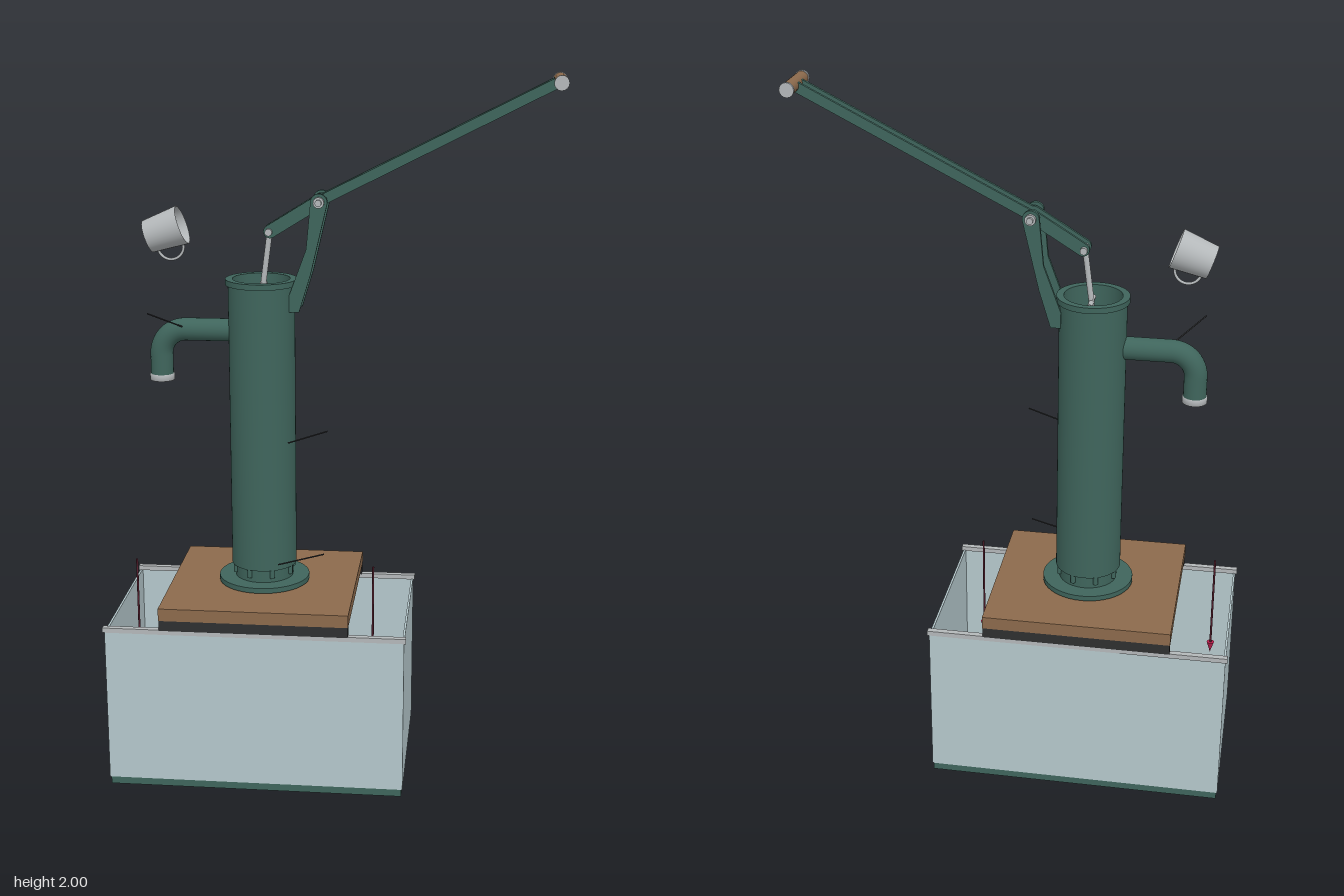
import * as THREE from 'three';

const mat = (color) => new THREE.MeshStandardMaterial({ color, side: THREE.DoubleSide });
const GREEN = mat(0x3f655c), WOOD = mat(0x8c6a4c), DARK = mat(0x2e2f30), STEEL = mat(0xb4b8ba);
const GLASS = mat(0xb5c8cc), TAN = mat(0xb8935f), RED = mat(0xc03030), PINK = mat(0xc02050);
const PX = -0.2; // pump axis

export function createModel() {
  const root = new THREE.Group();
  const add = (name, geo, material, x = 0, y = 0, z = 0) => {
    const m = new THREE.Mesh(geo, material);
    m.name = name;
    m.position.set(x, y, z);
    root.add(m);
    return m;
  };
  const box = (name, material, w, h, d, x, y, z) => add(name, new THREE.BoxGeometry(w, h, d), material, x, y, z);
  const disc = (name, material, r, y0, y1, x = PX, z = 0) =>
    add(name, new THREE.CylinderGeometry(r, r, y1 - y0, 40), material, x, (y0 + y1) / 2, z);
  // Round rod between two points
  const rod = (name, material, a, b, r) => {
    const p = new THREE.Vector3(...a), q = new THREE.Vector3(...b), d = q.clone().sub(p);
    const m = add(name, new THREE.CylinderGeometry(r, r, d.length(), 16), material);
    m.position.copy(p).add(q).multiplyScalar(0.5);
    m.quaternion.setFromUnitVectors(new THREE.Vector3(0, 1, 0), d.normalize());
    return m;
  };
  // Flat plate cut in the xy plane, centred on z
  const plate = (name, material, shape, t, z) =>
    add(name, new THREE.ExtrudeGeometry(shape, { depth: t, bevelEnabled: false, curveSegments: 10 }), material, 0, 0, z - t / 2);
  // Straight strip with rounded ends
  const strip = (a, b, r) => {
    const ang = Math.atan2(b[1] - a[1], b[0] - a[0]);
    const s = new THREE.Shape();
    s.absarc(b[0], b[1], r, ang - Math.PI / 2, ang + Math.PI / 2, false);
    s.absarc(a[0], a[1], r, ang + Math.PI / 2, ang + Math.PI * 1.5, false);
    s.closePath();
    return s;
  };

  // Open tank
  box('tankFloor', GREEN, 0.835, 0.022, 0.5, -0.2, 0.014, 0);
  for (const s of [-1, 1]) {
    box('tankLongWall', GLASS, 0.842, 0.45, 0.006, -0.2, 0.25, s * 0.249);
    box('tankEndWall', GLASS, 0.006, 0.45, 0.492, -0.2 + s * 0.418, 0.25, 0);
    box('tankRail', STEEL, 0.852, 0.014, 0.017, -0.2, 0.48, s * 0.247);
    box('boardRunner', DARK, 0.53, 0.03, 0.02, -0.2, 0.5, s * 0.246);
  }
  box('board', WOOD, 0.532, 0.036, 0.514, -0.2, 0.533, 0);

  // Level markers
  for (const x of [-0.565, 0.12]) {
    rod('markerPole', mat(0x5a2030), [x, 0.34, 0.053], [x, 0.62, 0.053], 0.003);
    add('markerTip', new THREE.ConeGeometry(0.011, 0.035, 16), PINK, x, 0.325, 0.053).rotation.x = Math.PI;
  }

  // Suction pipe, flange and hollow barrel
  disc('suctionPipe', STEEL, 0.033, 0.1, 0.56);
  disc('flange', GREEN, 0.13, 0.557, 0.572);
  disc('flangeSeat', GREEN, 0.06, 0.55, 0.558);
  disc('neck', GREEN, 0.083, 0.572, 0.612);
  for (let i = 0; i < 8; i++) {
    const a = (i + 0.5) * Math.PI / 4;
    disc('neckBolt', GREEN, 0.007, 0.585, 0.612, PX + 0.085 * Math.cos(a), 0.085 * Math.sin(a));
  }
  const profile = [[0, 0.61], [0.093, 0.61], [0.093, 1.424], [0.1, 1.424], [0.1, 1.44], [0.08, 1.44], [0.08, 0.62], [0, 0.62]];
  // Doubled points keep the rim edges sharp
  const sharp = profile.flatMap(([x, y]) => [new THREE.Vector2(x, y), new THREE.Vector2(x, y)]);
  add('barrel', new THREE.LatheGeometry(sharp, 48), GREEN, PX);

  // Spout with downward bend
  const path = new THREE.CurvePath();
  const v = (x, y) => new THREE.Vector3(x, y, 0);
  path.add(new THREE.LineCurve3(v(-0.285, 1.292), v(-0.415, 1.292)));
  path.add(new THREE.CubicBezierCurve3(v(-0.415, 1.292), v(-0.454, 1.292), v(-0.485, 1.261), v(-0.485, 1.222)));
  path.add(new THREE.LineCurve3(v(-0.485, 1.222), v(-0.485, 1.148)));
  add('spout', new THREE.TubeGeometry(path, 40, 0.032, 24), GREEN);
  add('spoutCollar', new THREE.LatheGeometry([[0.029, 1.146], [0.035, 1.146], [0.035, 1.164], [0.029, 1.164]]
    .map(([x, y]) => new THREE.Vector2(x, y)), 28), STEEL, -0.485);

  // Piston and foot valve inside the barrel
  for (const [name, y] of [['footValve', 0.63], ['piston', 0.99]]) {
    disc(name + 'Seal', WOOD, 0.079, y, y + 0.035);
    disc(name + 'Plate', TAN, 0.066, y + 0.03, y + 0.042);
    disc(name + 'Flap', RED, 0.032, y + 0.042, y + 0.05);
  }
  rod('pistonYoke', STEEL, [-0.26, 1.08, 0], [-0.14, 1.08, 0], 0.006);
  for (const x of [-0.255, -0.145]) rod('pistonYokeLeg', STEEL, [x, 1.03, 0], [x, 1.08, 0], 0.005);
  rod('pistonRod', STEEL, [PX, 1.05, 0], [-0.195, 1.43, 0], 0.008);
  rod('pistonLink', STEEL, [-0.195, 1.42, 0], [-0.175, 1.57, 0], 0.008);
  rod('rodPin', STEEL, [-0.175, 1.572, -0.032], [-0.175, 1.572, 0.032], 0.01);
  rod('linkPin', STEEL, [-0.195, 1.42, -0.04], [-0.195, 1.42, 0.04], 0.007);

  // Brackets and twin-bar lever
  const bracket = new THREE.Shape();
  bracket.moveTo(-0.118, 1.355);
  bracket.lineTo(-0.09, 1.355);
  bracket.lineTo(-0.058, 1.46);
  bracket.lineTo(-0.012, 1.655);
  bracket.absarc(-0.035, 1.658, 0.023, 0, Math.PI, false);
  bracket.lineTo(-0.07, 1.53);
  bracket.lineTo(-0.118, 1.4);
  const pivot = [-0.035, 1.658], tail = [-0.172, 1.573], tip = [0.6, 1.98];
  for (const s of [-1, 1]) {
    plate('leverBracket', GREEN, bracket, 0.011, s * 0.04);
    plate('leverTail', GREEN, strip(tail, pivot, 0.018), 0.009, s * 0.017);
    plate('leverArm', GREEN, strip(pivot, tip, 0.014), 0.009, s * 0.017);
    rod('gripCap', STEEL, [0.602, 1.98, s * 0.066], [0.602, 1.98, s * 0.074], 0.02);
    rod('pivotNut', STEEL, [...pivot, s * 0.046], [...pivot, s * 0.056], 0.015);
  }
  rod('pivotPin', STEEL, [...pivot, -0.065], [...pivot, 0.065], 0.009);
  rod('grip', WOOD, [0.602, 1.98, -0.067], [0.602, 1.98, 0.067], 0.018);

  // Tilted cup, mouth towards +x, wire handle below
  const cup = new THREE.Group();
  cup.name = 'cup';
  const cupProfile = [[0, -0.05], [0.046, -0.05], [0.046, -0.05], [0.055, 0.052], [0.052, 0.052], [0.043, -0.045], [0, -0.045]];
  const body = new THREE.Mesh(new THREE.LatheGeometry(cupProfile.map(([x, y]) => new THREE.Vector2(x, y)), 36), STEEL);
  body.name = 'cupBody';
  body.rotation.z = -Math.PI / 2;
  const loop = new THREE.Mesh(new THREE.TorusGeometry(0.036, 0.004, 8, 24, Math.PI), STEEL);
  loop.name = 'cupHandle';
  loop.rotation.z = Math.PI;
  loop.position.set(0, -0.046, 0);
  cup.add(body, loop);
  cup.position.set(-0.467, 1.568, 0);
  cup.rotation.z = 0.34;
  root.add(cup);

  // Thin pointer wires
  rod('spoutPointer', DARK, [-0.5, 1.357, 0.11], [-0.42, 1.305, 0.03], 0.002);
  rod('pistonPointer', DARK, [-0.115, 1.0, 0.113], [-0.005, 1.037, 0.113], 0.002);
  rod('valvePointer', DARK, [-0.145, 0.64, 0.113], [-0.015, 0.676, 0.113], 0.002);
  return root;
}
